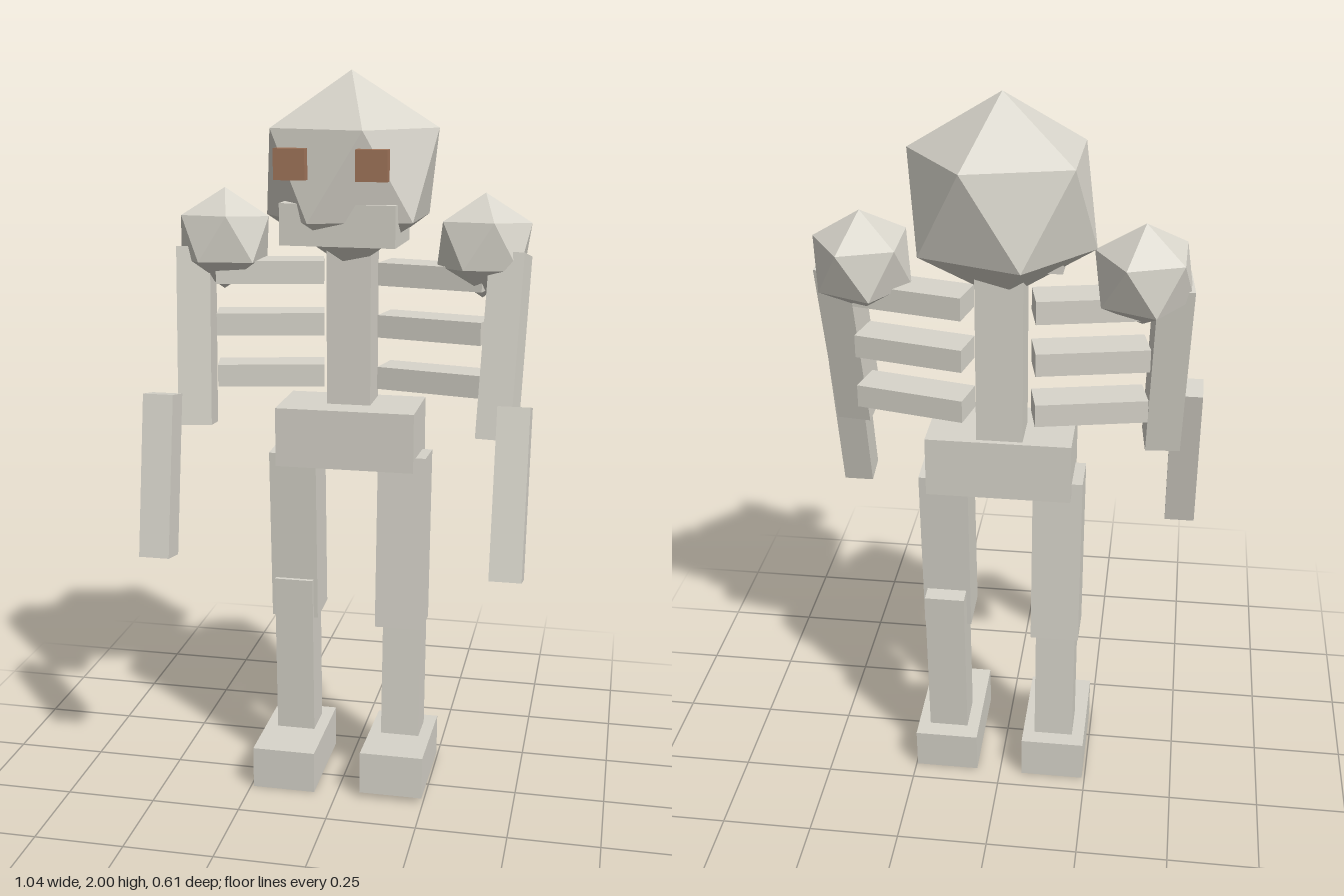
import * as THREE from 'three';

export function createModel() {
  const model = new THREE.Group();
  model.name = 'skeleton';

  const bone = new THREE.MeshStandardMaterial({ color: 0xd8d5cb });
  bone.name = 'bone';
  const rust = new THREE.MeshStandardMaterial({ color: 0xa3775c });
  rust.name = 'rust eyes';

  function add(parent, name, geometry, material, pos, rot = [0, 0, 0]) {
    const mesh = new THREE.Mesh(geometry, material);
    mesh.name = name;
    mesh.position.set(...pos);
    mesh.rotation.set(...rot);
    parent.add(mesh);
    return mesh;
  }
  const box = (parent, name, size, pos, rot, material = bone) =>
    add(parent, name, new THREE.BoxGeometry(...size), material, pos, rot);

  // Icosahedron standing on a corner, with a corner of its upper ring toward +x
  const gem = (rx, ry, rz) =>
    new THREE.IcosahedronGeometry(1, 0)
      .rotateZ(-Math.atan(2 / (1 + Math.sqrt(5))))
      .scale(rx, ry, rz);

  // Head with jaw and eyes, turned slightly
  const head = new THREE.Group();
  head.name = 'head';
  head.position.set(0, 1.735, -0.105);
  head.rotation.y = -0.03;
  model.add(head);
  add(head, 'skull', gem(0.265, 0.265, 0.235), bone, [0, 0, 0]);
  box(head, 'jaw', [0.31, 0.11, 0.2], [0, -0.125, 0.073]);
  box(head, 'rightEye', [0.083, 0.08, 0.03], [-0.112, 0.034, 0.215], undefined, rust);
  box(head, 'leftEye', [0.083, 0.08, 0.03], [0.103, 0.034, 0.215], undefined, rust);

  // Torso
  box(model, 'spine', [0.122, 0.47, 0.12], [0, 1.32, -0.125]);
  box(model, 'pelvis', [0.385, 0.165, 0.215], [0.003, 1.02, -0.092]);
  for (const y of [1.178, 1.322, 1.465]) {
    for (const s of [-1, 1]) {
      // Ribs sweep forward at their outer ends
      box(model, s < 0 ? 'rightRib' : 'leftRib', [0.295, 0.062, 0.1],
        [0.003 + s * 0.229, y, -0.1], [0, -s * 0.21, 0]);
    }
  }

  // Arms
  const arms = [
    { side: 'right', s: -1, shoulder: [-0.355, 1.55, -0.1],
      upper: [-0.424, 1.285, -0.045], upperTilt: -0.15,
      fore: [-0.482, 0.93, 0.138], foreTilt: -0.18 },
    { side: 'left', s: 1, shoulder: [0.363, 1.55, -0.085],
      upper: [0.43, 1.295, 0], upperTilt: -0.23,
      fore: [0.477, 0.955, 0.204], foreTilt: -0.245 },
  ];
  for (const a of arms) {
    add(model, a.side + 'Shoulder', gem(0.14, 0.138, 0.14), bone, a.shoulder, [-0.08, -0.02, 0]);
    box(model, a.side + 'UpperArm', [0.093, 0.49, 0.105], a.upper,
      [a.upperTilt, -a.s * 0.12, -a.s * 0.03]);
    box(model, a.side + 'Forearm', [0.084, 0.445, 0.084], a.fore, [a.foreTilt, 0, 0]);
  }

  // Legs, caught in a slight stride
  const legs = [
    { side: 'right', x: -0.152, thighZ: -0.1, thighTilt: 0.04,
      shinZ: -0.09, shinTilt: 0.03, foot: [-0.153, 0.06, -0.043], footTilt: 0 },
    { side: 'left', x: 0.157, thighZ: -0.075, thighTilt: -0.065,
      shinZ: -0.11, shinTilt: -0.06, foot: [0.157, 0.068, -0.043], footTilt: -0.045 },
  ];
  for (const l of legs) {
    box(model, l.side + 'Thigh', [0.133, 0.492, 0.13], [l.x, 0.72, l.thighZ], [l.thighTilt, 0, 0]);
    box(model, l.side + 'Shin', [0.11, 0.49, 0.108], [l.x, 0.345, l.shinZ], [l.shinTilt, 0, 0]);
    box(model, l.side + 'Foot', [0.178, 0.12, 0.308], l.foot, [l.footTilt, 0, 0]);
  }

  return model;
}
